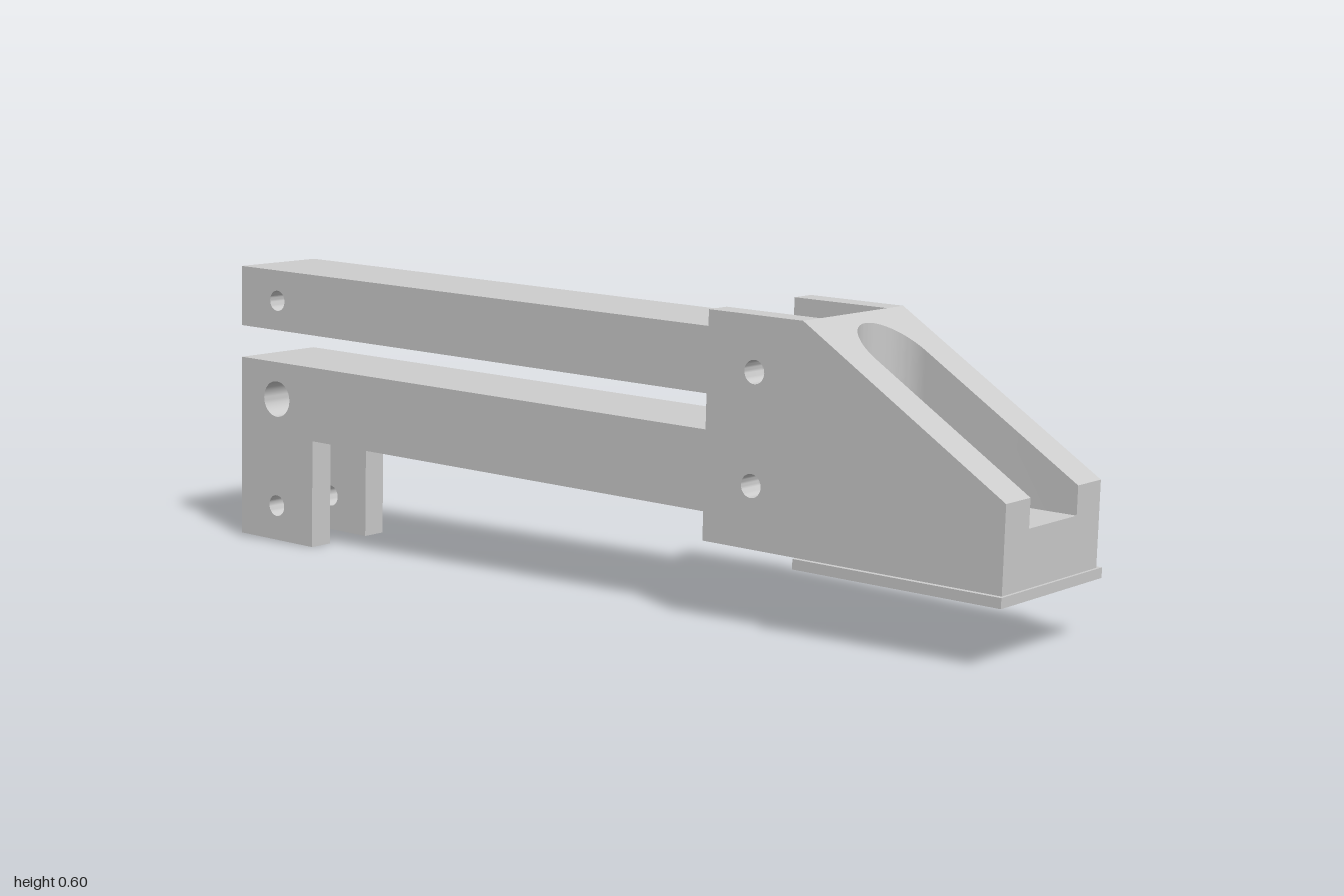
import * as THREE from 'three';
import { toCreasedNormals } from 'three/addons/utils/BufferGeometryUtils.js';

const material = new THREE.MeshStandardMaterial({ color: 0xcccccc });
const TILT = 0.03; // the whole linkage leans slightly up towards the back
const BODY = 0.11; // half width of bars
const CHEEK = 0.165; // half width of toe block
const SLOT = 0.083; // half width of the toe slot

const mesh = (name, geometry) => {
  const m = new THREE.Mesh(toCreasedNormals(geometry, 0.5), material);
  m.name = name;
  return m;
};

// Side profile of [z, y] points with [z, y, radius] holes, extruded from x0 to x1
function sidePart(name, points, holes, x0, x1) {
  const shape = new THREE.Shape(points.map(([z, y]) => new THREE.Vector2(z, y)));
  for (const [z, y, r] of holes) {
    shape.holes.push(new THREE.Path().absarc(z, y, r, 0, Math.PI * 2, true));
  }
  const geometry = new THREE.ExtrudeGeometry(shape, {
    depth: x1 - x0, bevelEnabled: false, curveSegments: 16,
  });
  geometry.rotateY(-Math.PI / 2).translate(x1, 0, 0);
  return mesh(name, geometry);
}

const rect = (z0, z1, y0, y1) => [[z0, y0], [z1, y0], [z1, y1], [z0, y1]];

// U-shaped block around the toe slot, its top cut by the slope
function slotBlock(back, front, floor, slope) {
  const shape = new THREE.Shape();
  const arcZ = 0.651;
  shape.moveTo(-BODY, front);
  shape.lineTo(-BODY, back);
  shape.lineTo(BODY, back);
  shape.lineTo(BODY, front);
  shape.lineTo(SLOT, front);
  shape.lineTo(SLOT, arcZ);
  shape.absarc(0, arcZ, SLOT, 0, -Math.PI, true);
  shape.lineTo(-SLOT, front);
  shape.closePath();
  const geometry = new THREE.ExtrudeGeometry(shape, {
    depth: 1, bevelEnabled: false, curveSegments: 24,
  });
  geometry.rotateX(Math.PI / 2);
  const p = geometry.attributes.position;
  for (let i = 0; i < p.count; i++) {
    p.setY(i, p.getY(i) > -0.5 ? slope(p.getZ(i)) : floor);
  }
  return mesh('slotWalls', geometry);
}

export function createModel() {
  const model = new THREE.Group();
  model.name = 'linkageArm';
  const frame = new THREE.Group();
  frame.name = 'tiltedFrame';
  frame.rotation.x = TILT;
  model.add(frame);

  const back = 0.542, front = 0.99, floor = 0.277;
  const topY = 0.611, noseY = 0.333, baseY = 0.167;
  const frontHoles = { upper: [0.435, 0.504, 0.023], lower: [0.435, 0.288, 0.023] };

  // Toe block: two cheeks, a base and the slotted middle
  const toe = new THREE.Group();
  toe.name = 'toeBlock';
  const cheek = [
    [0.325, baseY], [front, baseY], [front, noseY], [back, topY], [0.325, topY],
  ];
  const cheekHoles = [frontHoles.upper, frontHoles.lower];
  toe.add(
    sidePart('leftCheek', cheek, cheekHoles, BODY, CHEEK),
    sidePart('rightCheek', cheek, cheekHoles, -CHEEK, -BODY),
    sidePart('toeBase', rect(back, front, baseY, floor), [], -BODY, BODY),
    slotBlock(back, front, floor,
      (z) => noseY + (topY - noseY) * (front - z) / (front - back)),
    sidePart('solePlate', rect(0.544, 0.996, 0.147, baseY), [], -0.176, 0.176),
  );

  // Parallel bars
  const rear = -0.997, barFront = 0.54;
  const upperBar = sidePart('upperBar', rect(rear, barFront, 0.44, 0.57),
    [[-0.887, 0.504, 0.022], frontHoles.upper], -BODY, BODY);

  const lower = new THREE.Group();
  lower.name = 'lowerLink';
  lower.add(sidePart('lowerBar', rect(rear, barFront, 0.21, 0.37),
    [[-0.888, 0.289, 0.039], frontHoles.lower], -BODY, BODY));

  // Fork prongs hanging from the rear of the lower bar
  const prong = rect(rear, -0.778, -0.023, 0.21);
  const prongHole = [[-0.887, 0.053, 0.023]];
  lower.add(
    sidePart('leftProng', prong, prongHole, BODY / 2, BODY),
    sidePart('rightProng', prong, prongHole, -BODY, -BODY / 2),
  );

  frame.add(toe, upperBar, lower);
  return model;
}
